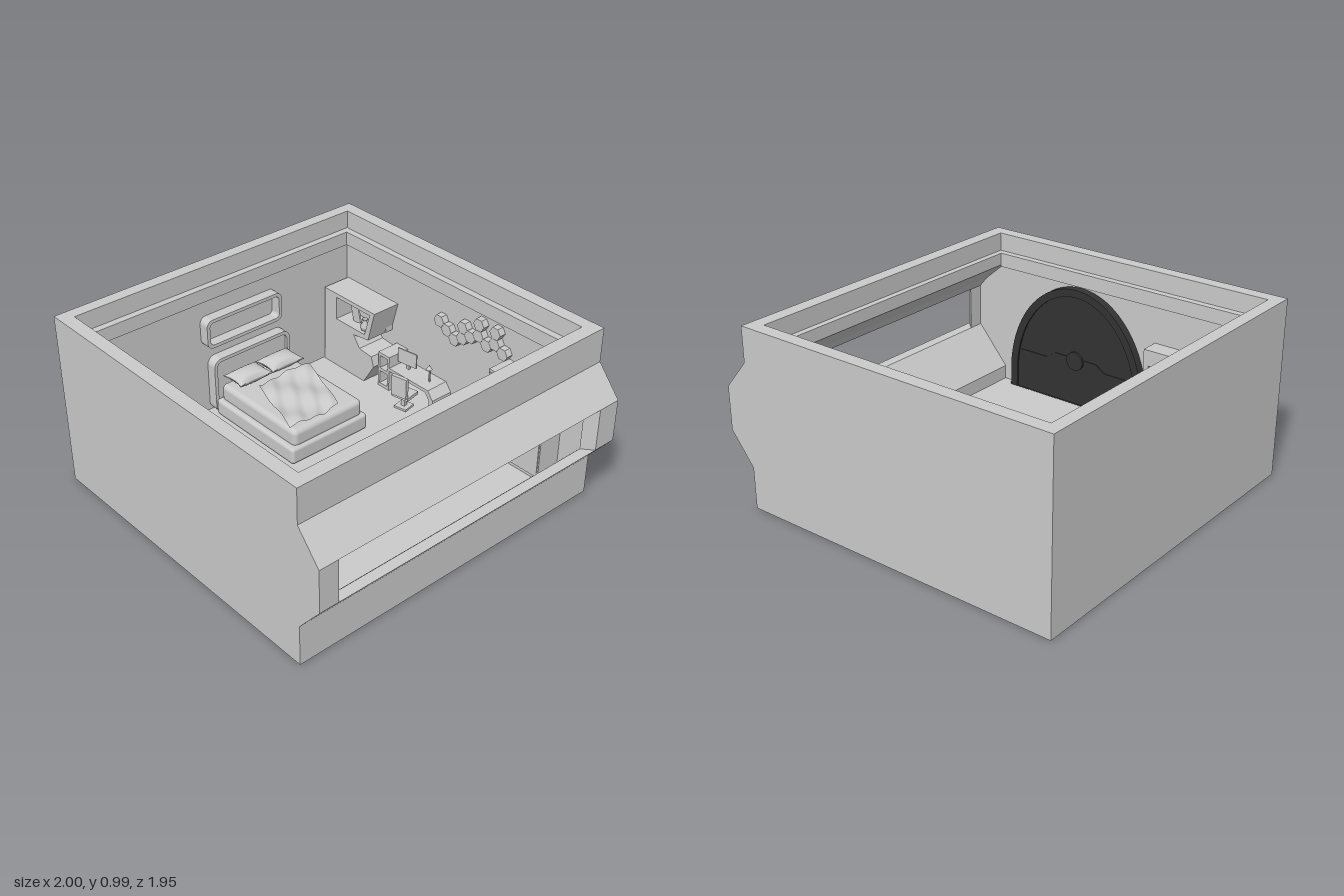
import * as THREE from 'three';
import { RoundedBoxGeometry } from 'three/addons/geometries/RoundedBoxGeometry.js';

const grey = new THREE.MeshStandardMaterial({ color: 0xcccccc, flatShading: true });
const smooth = new THREE.MeshStandardMaterial({ color: 0xcccccc, side: THREE.DoubleSide });
const dark = new THREE.MeshStandardMaterial({ color: 0x333333 });

export function createModel() {
  const root = new THREE.Group();
  const group = (name, parent = root) => {
    const g = new THREE.Group();
    g.name = name;
    parent.add(g);
    return g;
  };
  const add = (parent, name, geo, mat = grey) => {
    const m = new THREE.Mesh(geo, mat);
    m.name = name;
    parent.add(m);
    return m;
  };
  // Box given by its minimum and maximum corners
  const box = (parent, name, x0, x1, y0, y1, z0, z1) => {
    const m = add(parent, name, new THREE.BoxGeometry(x1 - x0, y1 - y0, z1 - z0));
    m.position.set((x0 + x1) / 2, (y0 + y1) / 2, (z0 + z1) / 2);
    return m;
  };
  const shapeOf = pts => new THREE.Shape(pts.map(p => new THREE.Vector2(...p)));
  // Front outline pushed from z0 to z1
  const slab = (parent, name, shape, z0, z1, mat) => {
    const geo = new THREE.ExtrudeGeometry(shape, { depth: z1 - z0, bevelEnabled: false, curveSegments: 24 });
    const m = add(parent, name, geo, mat);
    m.position.z = z0;
    return m;
  };
  // Floor plan outline of [x, z] points pushed from y0 to y1
  const prism = (parent, name, plan, y0, y1) => {
    const shape = shapeOf(plan.map(([x, z]) => [x, -z]));
    const geo = new THREE.ExtrudeGeometry(shape, { depth: y1 - y0, bevelEnabled: false });
    add(parent, name, geo.rotateX(-Math.PI / 2)).position.y = y0;
  };
  const roundRect = (x0, y0, x1, y1, r) => new THREE.Shape()
    .moveTo(x0 + r, y0).lineTo(x1 - r, y0).absarc(x1 - r, y0 + r, r, -Math.PI / 2, 0)
    .lineTo(x1, y1 - r).absarc(x1 - r, y1 - r, r, 0, Math.PI / 2)
    .lineTo(x0 + r, y1).absarc(x0 + r, y1 - r, r, Math.PI / 2, Math.PI)
    .lineTo(x0, y0 + r).absarc(x0 + r, y0 + r, r, Math.PI, Math.PI * 1.5);

  // Room shell: walls set back under a ledge, and a projecting window
  const F = 0.1, L = 0.89, U = 0.81, H = 0.993, X = 0.863, Z = 0.9, ZO = 0.975;
  const shell = group('roomShell');
  const outline = shapeOf([[-1, 0], [X, 0], [X, 0.23], [1, 0.4], [1, 0.64], [X, 0.8], [X, H], [-1, H]]);
  slab(shell, 'frontWall', outline, Z, ZO);
  slab(shell, 'backWall', outline, -ZO, -Z);
  box(shell, 'sideWall', -1, -0.93, 0, H, -Z, Z);
  box(shell, 'sideLedge', -0.93, -0.89, U, L, -Z, Z);
  box(shell, 'frontLedge', -0.89, 0.75, U, L, 0.86, Z);
  box(shell, 'backLedge', -0.89, 0.75, U, L, -Z, -0.86);
  slab(shell, 'wallAboveWindow', shapeOf([[X, H], [0.785, H], [0.785, L], [0.75, L], [0.75, 0.82], [0.89, 0.7], [0.94, 0.64], [1, 0.64], [X, 0.8]]), -Z, Z);
  slab(shell, 'wallBelowWindow', shapeOf([[0.75, 0], [X, 0], [X, 0.23], [1, 0.4], [0.94, 0.4], [0.75, 0.18]]), -Z, Z);
  prism(shell, 'windowJamb', [[1, 0.865], [0.94, 0.812], [0.94, Z], [1, Z]], 0.4, 0.64);
  prism(shell, 'windowJamb', [[1, -0.84], [0.94, -0.79], [0.94, -Z], [1, -Z]], 0.4, 0.64);
  box(shell, 'floor', -0.93, 0.75, 0, F, -Z, Z);

  // Arched door with rim, seam and hub
  const door = group('archedDoor');
  const arch = (rx, ry, y0) => new THREE.Shape().moveTo(-rx, y0).lineTo(rx, y0).lineTo(rx, 0.2)
    .absellipse(0, 0.2, rx, ry, 0, Math.PI);
  const rim = arch(0.455, 0.59, F);
  rim.holes.push(arch(0.41, 0.545, F + 0.001));
  slab(door, 'doorRim', rim, 0.852, Z, dark);
  slab(door, 'doorPanel', arch(0.42, 0.555, F), 0.862, Z, dark);
  const seam = shapeOf([[-0.39, 0.33], [-0.2, 0.33], [-0.14, 0.37], [0.14, 0.37], [0.2, 0.33], [0.39, 0.33],
    [0.39, 0.34], [0.2, 0.34], [0.14, 0.38], [-0.14, 0.38], [-0.2, 0.34], [-0.39, 0.34]]);
  slab(door, 'doorSeam', seam, 0.858, 0.864, dark);
  const hub = add(door, 'doorHub', new THREE.CylinderGeometry(0.055, 0.055, 0.03, 24), dark);
  hub.rotation.x = Math.PI / 2;
  hub.position.set(0, 0.365, 0.863);
  door.position.x = 0.215;

  // Bed: frame, mattress, headboard, pillows and crumpled blanket
  const bed = group('bed');
  const soft = (name, x0, x1, y0, y1, z0, z1, r) => {
    const m = add(bed, name, new RoundedBoxGeometry(x1 - x0, y1 - y0, z1 - z0, 3, r), smooth);
    m.position.set((x0 + x1) / 2, (y0 + y1) / 2, (z0 + z1) / 2);
  };
  soft('bedFrame', -0.87, -0.21, F, 0.2, -0.41, 0.12, 0.02);
  soft('mattress', -0.86, -0.23, 0.18, 0.29, -0.39, 0.09, 0.03);
  // Outline standing against the side wall
  const sideShape = (parent, name, shape, depth) => {
    const m = slab(parent, name, shape, 0, depth);
    m.rotation.y = Math.PI / 2;
    m.position.set(-0.93, 0, 0);
  };
  const headRim = roundRect(-0.12, F, 0.41, 0.44, 0.05);
  headRim.holes.push(roundRect(-0.1, F + 0.02, 0.39, 0.42, 0.035));
  sideShape(bed, 'headboardRim', headRim, 0.062);
  sideShape(bed, 'headboardPanel', roundRect(-0.11, F, 0.4, 0.43, 0.04), 0.045);
  const pillow = new THREE.BoxGeometry(2, 2, 2, 14, 1, 14);
  const pp = pillow.attributes.position;
  for (let i = 0; i < pp.count; i++) {
    const u = pp.getX(i), v = pp.getZ(i);
    const puff = Math.sqrt((1 - u * u) * (1 - v * v));
    pp.setXYZ(i, u * 0.075 * (0.86 + 0.14 * v * v), Math.sign(pp.getY(i)) * (0.003 + 0.037 * puff), v * 0.113 * (0.88 + 0.12 * u * u));
  }
  pillow.computeVertexNormals();
  for (const z of [-0.27, -0.045]) add(bed, 'pillow', pillow, smooth).position.set(-0.785, 0.33, z);
  const blanket = new THREE.PlaneGeometry(1, 1, 36, 36).rotateX(-Math.PI / 2);
  const bp = blanket.attributes.position;
  for (let i = 0; i < bp.count; i++) {
    const u = bp.getX(i) + 0.5, v = bp.getZ(i) + 0.5;
    const fold = 0.008 * Math.sin(9 * u + 7 * v) + 0.006 * Math.sin(19 * v - 8 * u);
    bp.setXYZ(i, -0.67 + 0.4 * u + 0.05 * Math.sin(3 * v) * (u - 0.5),
      0.31 + fold, -0.39 + 0.14 * u + v * (0.36 - 0.02 * u));
  }
  blanket.computeVertexNormals();
  add(bed, 'blanket', blanket, smooth);

  // Deep rounded frame on the wall over the bed
  const frame = roundRect(-0.155, 0.525, 0.36, 0.7, 0.04);
  frame.holes.push(roundRect(-0.135, 0.545, 0.34, 0.68, 0.025));
  sideShape(root, 'wallFrame', frame, 0.063);

  // Curved seat of five wedges
  const seat = group('curvedSeat');
  const start = 1.26, step = 0.596;
  for (let i = 0; i < 5; i++) {
    const a = start + i * step, b = a + step - 0.02;
    const pt = (r, t) => [r * Math.cos(t), r * Math.sin(t)];
    prism(seat, 'seatWedge', [pt(0.12, a), pt(0.225, a), pt(0.225, b), pt(0.12, b)], F, 0.2);
  }
  seat.position.set(-0.6, 0, 0.52);

  // Low shelf with a stepped top beside the door
  const shelf = group('sideShelf');
  const sh = shapeOf([[-0.82, F], [-0.28, F], [-0.28, 0.59], [-0.45, 0.59], [-0.5, 0.55], [-0.63, 0.55], [-0.7, 0.65], [-0.82, 0.65]]);
  for (const x of [-0.79, -0.61, -0.45]) for (const y of [0.14, 0.34]) {
    sh.holes.push(shapeOf([[x, y], [x, y + 0.16], [x + 0.14, y + 0.16], [x + 0.14, y]]));
  }
  slab(shelf, 'shelfBody', sh, 0.792, Z);

  // Corner unit with an open nook
  const unit = group('cornerUnit');
  const body = shapeOf([[-0.92, F], [-0.58, F], [-0.5, 0.23], [-0.52, 0.29], [-0.62, 0.3], [-0.67, 0.37], [-0.55, 0.385], [-0.5, 0.575], [-0.92, 0.575]]);
  body.holes.push(shapeOf([[-0.82, 0.41], [-0.58, 0.41], [-0.54, 0.55], [-0.82, 0.55]]));
  slab(unit, 'unitBody', body, -Z, -0.72);
  box(unit, 'unitBack', -0.89, -0.54, 0.39, 0.56, -Z, -0.85);
  const vase = [[0, 0], [0.02, 0], [0.028, 0.025], [0.012, 0.05], [0.018, 0.07]].map(p => new THREE.Vector2(...p));
  add(unit, 'vase', new THREE.LatheGeometry(vase, 16), smooth).position.set(-0.62, 0.41, -0.76);
  box(unit, 'leaningPanel', -0.75, -0.69, 0.41, 0.51, -0.79, -0.78).rotation.z = 0.25;

  // Desk with side cubby, screen, lamp and chair
  const desk = group('desk');
  slab(desk, 'deskTop', shapeOf([[-0.41, 0.25], [-0.41, 0.23], [-0.12, 0.23], [-0.09, 0.19], [-0.09, F], [-0.06, F], [-0.06, 0.2], [-0.1, 0.25]]), -Z, -0.757);
  const cubby = shapeOf([[-0.5, F], [-0.41, F], [-0.41, 0.32], [-0.5, 0.32]]);
  for (const y of [0.12, 0.22]) cubby.holes.push(shapeOf([[-0.485, y], [-0.485, y + 0.08], [-0.425, y + 0.08], [-0.425, y]]));
  slab(desk, 'cubby', cubby, -Z, -0.757);
  box(desk, 'screen', -0.4, -0.27, 0.28, 0.37, -0.83, -0.822).rotation.y = 0.15;
  box(desk, 'screenStand', -0.345, -0.325, 0.25, 0.3, -0.842, -0.83);
  box(desk, 'lampPost', -0.165, -0.157, 0.25, 0.34, -0.835, -0.827);
  const shade = add(desk, 'lampShade', new THREE.ConeGeometry(0.018, 0.03, 12));
  shade.position.set(-0.163, 0.345, -0.828);
  const chair = group('chair');
  box(chair, 'chairSeat', -0.055, 0.055, 0.175, 0.195, -0.055, 0.045);
  box(chair, 'chairBack', -0.05, 0.05, 0.195, 0.32, 0.035, 0.058);
  box(chair, 'chairPost', -0.012, 0.012, F, 0.175, -0.012, 0.012);
  box(chair, 'chairBase', -0.04, 0.04, F, 0.112, -0.04, 0.04);
  chair.position.set(-0.235, 0, -0.71);
  chair.rotation.y = 0.2;

  // Tall two-door cabinet by the window
  const cabinet = group('cabinet');
  box(cabinet, 'cabinetBody', 0.34, 0.725, F, 0.605, -Z, -0.752);
  for (const s of [-1, 1]) {
    const c = 0.5325 + s * 0.095;
    box(cabinet, 'cabinetDoor', c - 0.09, c + 0.09, 0.12, 0.59, -0.752, -0.746);
  }

  // Cluster of hexagonal wall tiles
  const tiles = group('wallTiles');
  const hex = new THREE.CylinderGeometry(0.038, 0.038, 0.04, 6).rotateY(Math.PI / 6).rotateX(Math.PI / 2);
  const cells = [[0, 1], [1, 0], [2, 0], [3, 0], [3, 1], [4, 1], [5, 2], [5, 1], [6, 1], [7, 2], [7, 1], [8, 1]];
  for (const [c, r] of cells) {
    add(tiles, 'tile', hex).position.set(-0.14 + c * 0.058, 0.57 + r * 0.067 + (c % 2) * 0.0335, -0.88);
  }
  return root;
}
